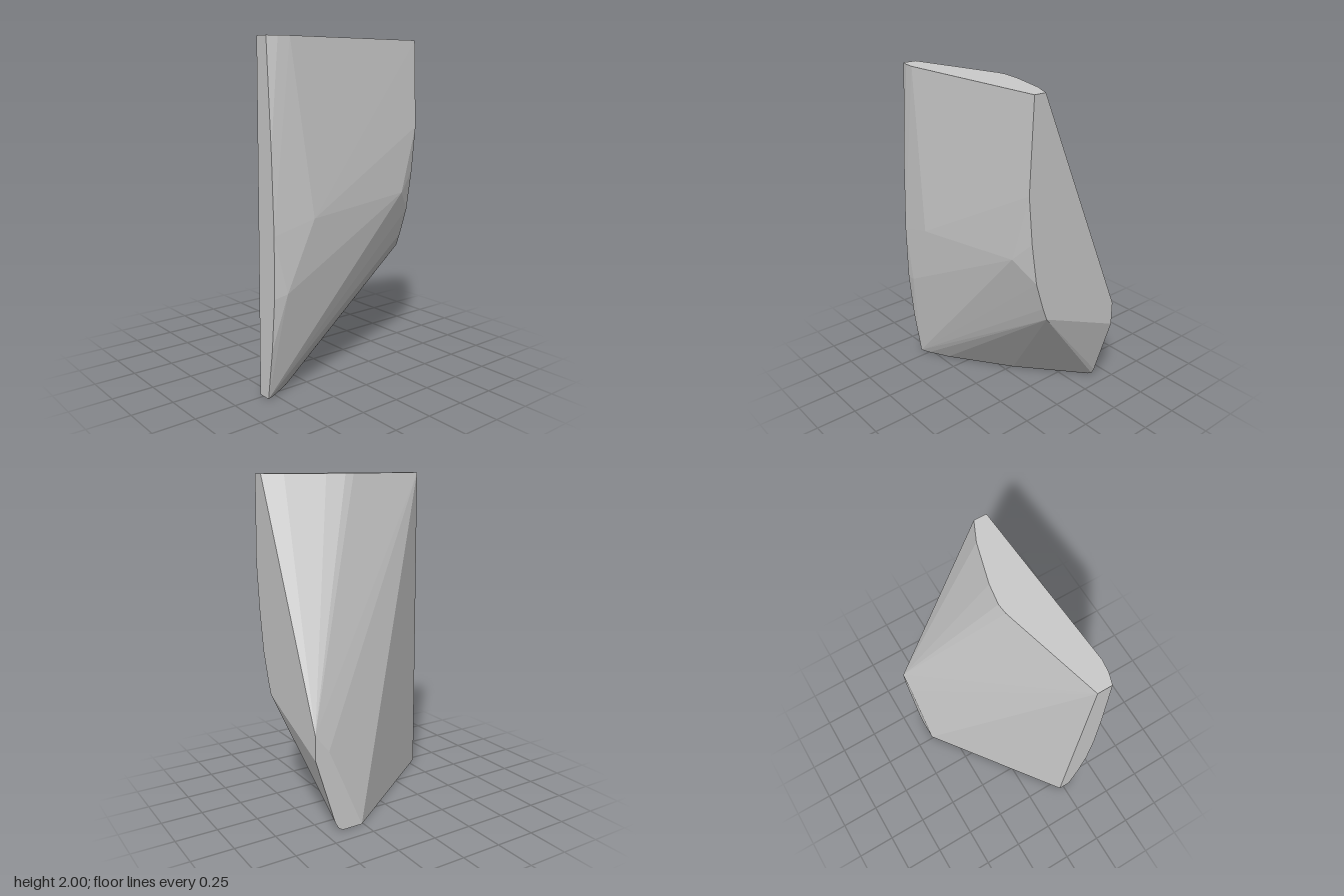
import * as THREE from 'three';
import { ConvexGeometry } from 'three/addons/geometries/ConvexGeometry.js';

// Faceted convex shard: each flat side is an outline, and the hull spans between them.
export function createModel() {
  const group = new THREE.Group();
  group.name = 'rockShard';
  const points = [];
  const add = (pairs, place) => pairs.forEach(([a, b]) => points.push(place(a, b)));

  // Flat top, as (x, z)
  add([[-0.56, 0.23], [0.02, 0.076], [0.08, 0.07], [0.2, 0.088], [0.44, 0.155],
    [0.56, 0.21], [0.56, 0.285], [-0.43, 0.345], [-0.5, 0.335], [-0.56, 0.315]],
  (x, z) => new THREE.Vector3(x, 2, z));

  // Narrow base, as (x, z)
  add([[-0.56, 0.22], [0.26, -0.39], [0.39, -0.39], [0.01, -0.06], [-0.37, 0.205],
    [-0.5, 0.275], [-0.56, 0.3]],
  (x, z) => new THREE.Vector3(x, 0, z));

  // Broad side at +x, as (y, z)
  add([[0.61, -0.39], [0.46, -0.39], [0.7, 0.165], [0.78, 0.195], [0.95, 0.248],
    [1.2, 0.285], [1.48, 0.31]],
  (y, z) => new THREE.Vector3(0.56, y, z));

  // Thin side at -x, as (y, z)
  add([[0.3, 0.342], [0.6, 0.368], [0.95, 0.37], [1.4, 0.352]],
    (y, z) => new THREE.Vector3(-0.56, y, z));

  // Small back side, as (x, y)
  add([[0.474, 0.5], [0.374, 0.27], [0.44, 0.06], [0.42, 0.02]],
    (x, y) => new THREE.Vector3(x, y, -0.39));

  // Ridge corners on the front
  points.push(
    new THREE.Vector3(-0.3, 1.02, 0.39),
    new THREE.Vector3(0.44, 1.08, 0.322),
    new THREE.Vector3(-0.48, 0.62, 0.382),
  );

  const shard = new THREE.Mesh(
    new ConvexGeometry(points),
    new THREE.MeshStandardMaterial({ color: 0xcccccc, flatShading: true }),
  );
  shard.name = 'shard';
  group.add(shard);
  return group;
}
